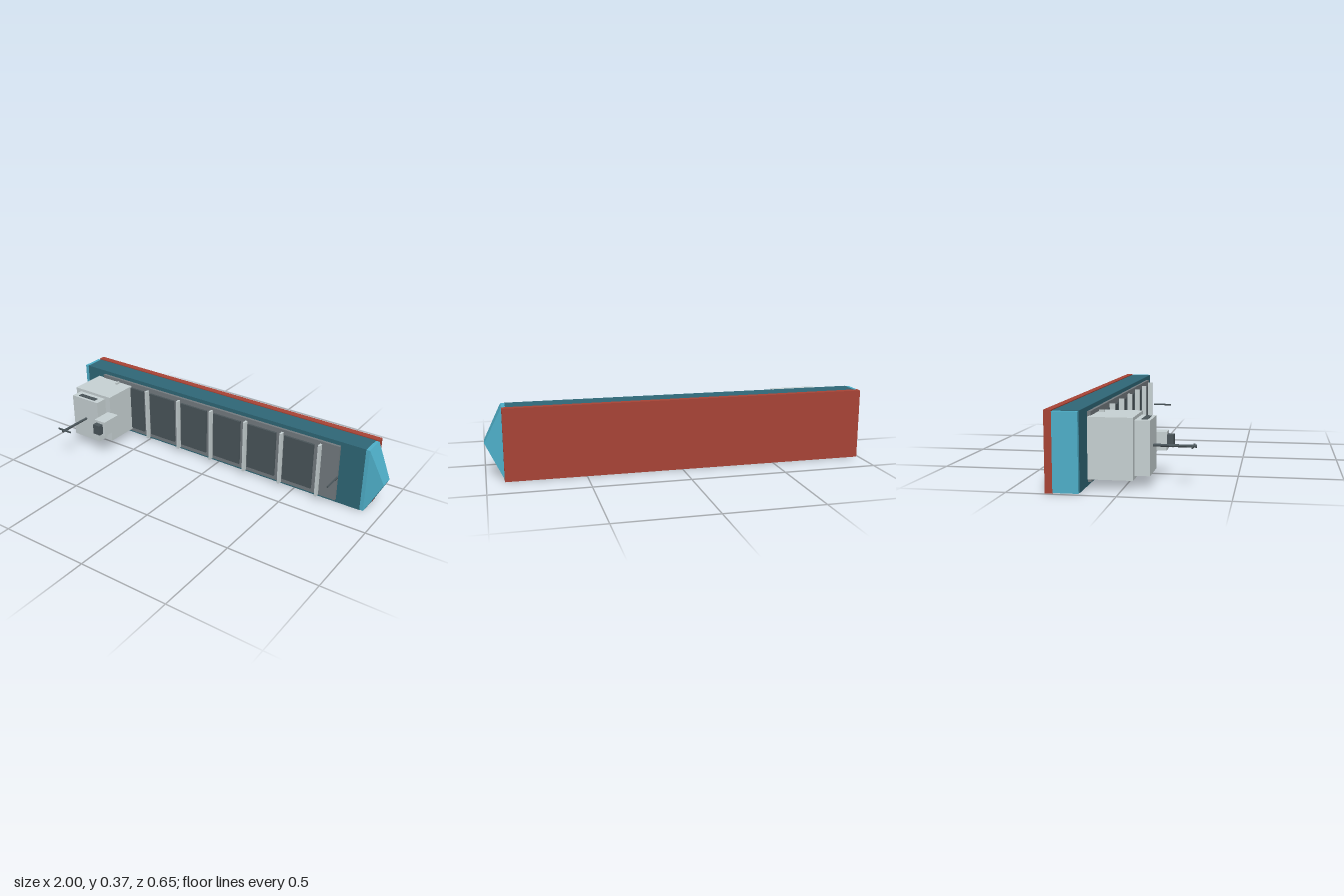
import * as THREE from 'three';

const mat = (color) => new THREE.MeshStandardMaterial({ color, flatShading: true });

export function createModel() {
  const ship = new THREE.Group();
  ship.name = 'cargoShip';
  const teal = mat(0x4fb0ca), darkTeal = mat(0x2f6878), red = mat(0xa84436);
  const pale = mat(0xc8d2d4), grey = mat(0x747c80), dark = mat(0x4a555a);
  const midY = 0.187;

  // Box given by its limits on each axis
  const box = (name, material, x0, x1, y0, y1, z0, z1) => {
    const mesh = new THREE.Mesh(new THREE.BoxGeometry(x1 - x0, y1 - y0, z1 - z0), material);
    mesh.position.set((x0 + x1) / 2, (y0 + y1) / 2, (z0 + z1) / 2);
    mesh.name = name;
    ship.add(mesh);
    return mesh;
  };
  // Round pole along z
  const pole = (name, x, radius, z0, z1) => {
    const geo = new THREE.CylinderGeometry(radius, radius, z1 - z0, 8).rotateX(Math.PI / 2);
    const mesh = new THREE.Mesh(geo, dark);
    mesh.position.set(x, midY, (z0 + z1) / 2);
    mesh.name = name;
    ship.add(mesh);
  };

  // Hull lying on its side: keel towards -z, deck towards +z, bow towards +x
  box('keel', red, -0.99, 0.91, 0, 0.372, -0.323, -0.288);
  box('hull', teal, -1, 0.91, 0.006, 0.367, -0.285, -0.168);
  box('hullSides', darkTeal, -0.978, 0.89, 0.004, 0.369, -0.2845, -0.1675);

  // Bow: a box whose far face is pinched to an upright stem edge
  const bow = box('bow', teal, 0.91, 1, 0.004, 0.369, -0.285, -0.168);
  const p = bow.geometry.attributes.position;
  for (let i = 0; i < p.count; i++) {
    if (p.getX(i) > 0) {
      p.setY(i, 0);
      p.setZ(i, p.getZ(i) > 0 ? 0.045 : -0.029);
    }
  }
  bow.geometry.computeVertexNormals();

  // Deck with cargo hatches and dividing rails
  box('deck', grey, -0.84, 0.755, 0.024, 0.349, -0.164, -0.149);
  const pitch = 0.2275;
  for (let i = 0; i < 6; i++) {
    const x = -0.613 + i * pitch;
    box('hatch', dark, x - 0.088, x + 0.088, 0.053, 0.321, -0.15, -0.137);
  }
  for (let i = 0; i < 7; i++) {
    const x = -0.71 + i * pitch;
    box('hatchRail', pale, x - 0.006, x + 0.006, 0.032, 0.341, -0.138, -0.112);
  }

  // Bridge house, wheelhouse and windows
  box('bridgeHouse', pale, -0.88, -0.62, 0.045, 0.329, -0.156, 0.052);
  box('wheelhouse', pale, -0.845, -0.655, 0.061, 0.313, 0.05, 0.123);
  box('windowLeft', dark, -0.81, -0.69, 0.312, 0.316, 0.079, 0.107);
  box('windowRight', dark, -0.81, -0.69, 0.057, 0.062, 0.079, 0.107);

  // Funnel
  box('funnel', pale, -0.641, -0.566, 0.143, 0.231, 0.047, 0.169);
  box('funnelCap', dark, -0.627, -0.58, 0.157, 0.216, 0.165, 0.199);

  // Masts
  pole('mainMast', -0.75, 0.007, 0.12, 0.323);
  box('mastCrossbar', dark, -0.796, -0.704, 0.183, 0.191, 0.304, 0.311);
  pole('foreMast', 0.77, 0.005, -0.12, -0.006);

  return ship;
}
